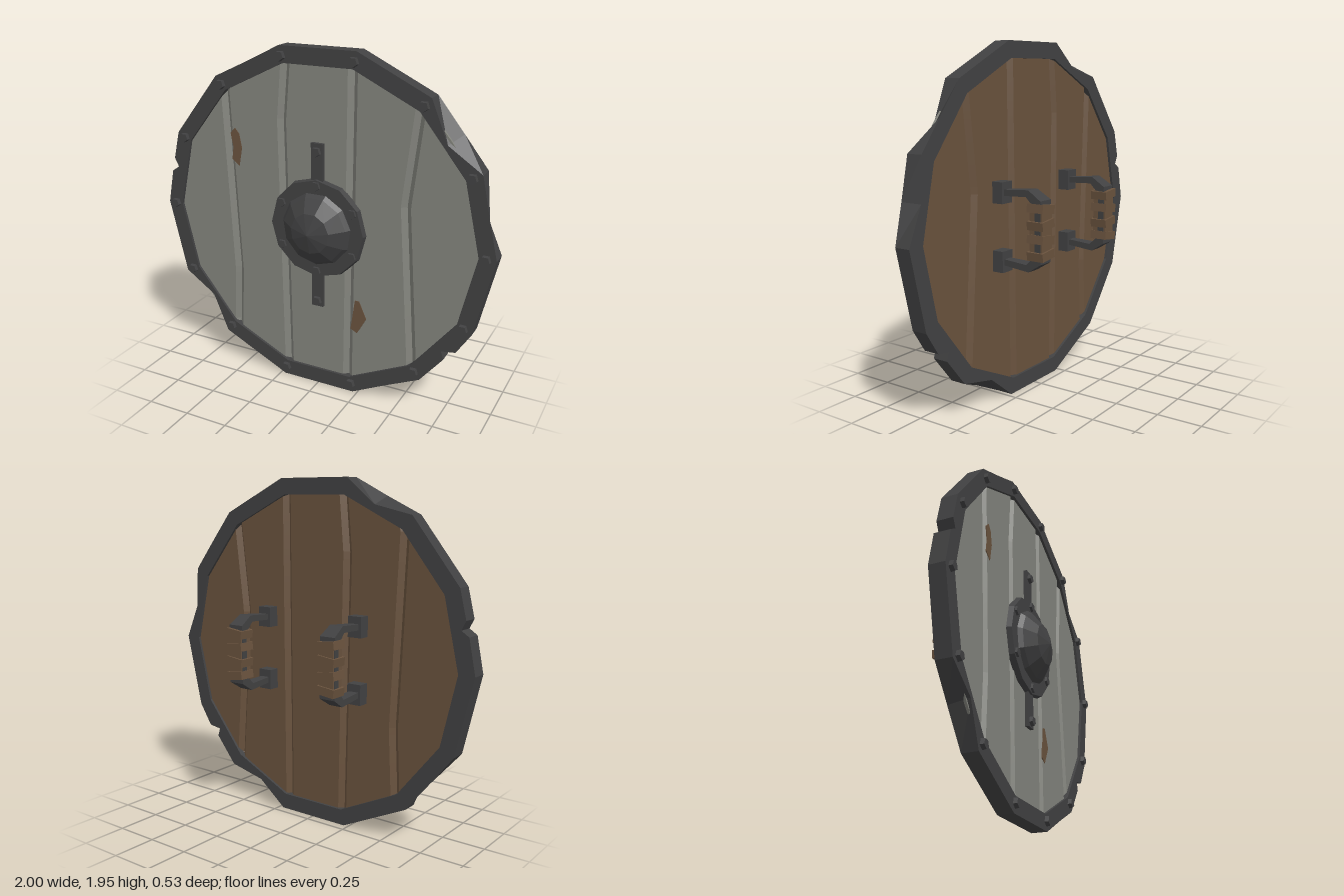
import * as THREE from 'three';

const CY = 0.975;   // height of the shield centre
const SIDES = 14;

const mat = (name, color, side = THREE.FrontSide) => {
  const m = new THREE.MeshStandardMaterial({ color, side, flatShading: true });
  m.name = name;
  return m;
};

// Flat-shaded geometry from a list of quads; each quad is four counter-clockwise corners
function quads(list) {
  const pos = [];
  for (const [a, b, c, d] of list) pos.push(...a, ...b, ...c, ...a, ...c, ...d);
  const g = new THREE.BufferGeometry();
  g.setAttribute('position', new THREE.Float32BufferAttribute(pos, 3));
  g.computeVertexNormals();
  return g;
}

// Radius of the unit polygon in direction t
function polyRadius(t) {
  const step = (2 * Math.PI) / SIDES;
  const k = ((t % step) + step) % step;
  return Math.cos(step / 2) / Math.cos(k - step / 2);
}

// Rim: box section swept round the polygon, with notches and dents as extra stations
function rimGeometry() {
  const stations = []; // x, y, front scale, back scale
  for (let i = 0; i < SIDES; i++) {
    const a = (i / SIDES) * Math.PI * 2;
    stations.push([Math.cos(a), Math.sin(a), 1, 1]);
  }
  stations.push(
    [-0.94, 0.275, 1, 1], [-0.915, 0.225, 1, 1], [-0.96, 0.195, 1, 1],   // notch
    [0.82, -0.56, 1, 1], [0.74, -0.572, 1, 1], [0.755, -0.62, 1, 1],     // notch
    [0.77, 0.6, 0.93, 1], [-0.77, -0.6, 0.93, 1],                        // front dents
    [-0.42, 0.877, 1, 0.95], [0.42, -0.877, 1, 0.95], [0.95, 0.21, 1, 0.96] // back dents
  );
  const angle = s => (Math.atan2(s[1], s[0]) + Math.PI * 2) % (Math.PI * 2);
  stations.sort((a, b) => angle(a) - angle(b));
  const rings = stations.map(([x, y, f, b]) => {
    const t = Math.atan2(y, x), r = 0.907 * polyRadius(t);
    const ix = r * Math.cos(t), iy = r * Math.sin(t);
    return [[x * f, y * f, 0.14], [x * b, y * b, 0.05], [ix, iy, 0.05], [ix, iy, 0.14]];
  });
  const list = [];
  rings.forEach((p, i) => {
    const q = rings[(i + 1) % rings.length];
    for (let k = 0; k < 4; k++) {
      const n = (k + 1) % 4;
      list.push([p[k], p[n], q[n], q[k]]);
    }
  });
  return quads(list);
}

// Plank joints: x as a bent line over y (relative to the centre)
const joints = [
  [[-0.93, -0.56], [-0.355, -0.53], [0.93, -0.585]],
  [[-0.93, -0.2], [0.575, -0.222], [0.93, -0.19]],
  [[-0.93, 0.182], [0.93, 0.197]],
  [[-0.93, 0.585], [0.2, 0.505], [0.93, 0.59]]
];
function jointX(j, y) {
  const i = Math.max(1, j.findIndex(p => p[0] >= y - 1e-6));
  const [y0, x0] = j[i - 1], [y1, x1] = j[i];
  return x0 + ((x1 - x0) * (y - y0)) / (y1 - y0);
}

// One face of a plank with bevelled long edges, cut off under the rim
function plankGeometry(left, right, zFace, zJoint) {
  const N = 48, R = 0.93, bevel = 0.028, rows = [];
  for (let i = 0; i <= N; i++) {
    const y = -R + (2 * R * i) / N;
    const c = Math.sqrt(Math.max(0, R * R - y * y));
    const clip = x => Math.min(c, Math.max(-c, x));
    const l = clip(left ? jointX(left, y) : -c), r = clip(right ? jointX(right, y) : c);
    const li = clip(l + (left ? bevel : 0)), ri = Math.max(li, clip(r - (right ? bevel : 0)));
    rows.push([[l, y, zJoint], [li, y, zFace], [ri, y, zFace], [r, y, zJoint]]);
  }
  const list = [];
  for (let i = 0; i < N; i++) for (let k = 0; k < 3; k++) {
    const a = rows[i], b = rows[i + 1];
    const q = [a[k], a[k + 1], b[k + 1], b[k]];
    list.push(zFace > zJoint ? q : q.reverse());
  }
  return quads(list);
}

export function createModel() {
  const iron = mat('dark iron', 0x414142);
  const paint = mat('grey paint', 0x83847d);
  const wood = mat('brown wood', 0x69523d);

  const model = new THREE.Group();
  model.name = 'shield';
  const shield = new THREE.Group();
  shield.name = 'shieldBody';
  shield.position.y = CY;
  model.add(shield);

  const add = (parent, name, geometry, material, x = 0, y = 0, z = 0) => {
    const m = new THREE.Mesh(geometry, material);
    m.name = name;
    m.position.set(x, y, z);
    parent.add(m);
    return m;
  };
  // Disc or stud with its axis along z
  const disc = (r0, r1, h, n) => new THREE.CylinderGeometry(r1, r0, h, n).rotateX(Math.PI / 2);

  add(shield, 'rim', rimGeometry(), iron);

  // Planks: painted on the front, bare wood on the back
  for (let i = 0; i <= joints.length; i++) {
    add(shield, 'plankFront', plankGeometry(joints[i - 1], joints[i], 0.125, 0.1), paint);
    add(shield, 'plankBack', plankGeometry(joints[i - 1], joints[i], 0.065, 0.09), wood);
  }

  // Chipped paint showing bare wood
  const chips = [
    [[-0.55, 0.47], [-0.52, 0.5], [-0.495, 0.47], [-0.48, 0.39], [-0.5, 0.285], [-0.545, 0.32], [-0.535, 0.39]],
    [[0.225, -0.395], [0.25, -0.395], [0.295, -0.495], [0.24, -0.595], [0.2, -0.575], [0.212, -0.49]]
  ];
  for (const pts of chips) {
    const shape = new THREE.Shape(pts.map(p => new THREE.Vector2(...p)));
    add(shield, 'paintChip', new THREE.ExtrudeGeometry(shape, { depth: 0.005, bevelEnabled: false }), wood, 0, 0, 0.123);
  }

  // Rim rivets
  const rivet = disc(0.03, 0.026, 0.03, 5);
  for (let i = 0; i < SIDES; i++) {
    const a = (i / SIDES) * Math.PI * 2;
    add(shield, 'rimRivet', rivet, iron, 0.945 * Math.cos(a), 0.945 * Math.sin(a), 0.147);
  }

  // Boss: strap, flange, dome and rivets
  add(shield, 'bossStrap', new THREE.BoxGeometry(0.07, 0.95, 0.03), iron, 0, 0.005, 0.13);
  add(shield, 'bossFlange', disc(0.288, 0.28, 0.035, 12), iron, 0, 0, 0.138);
  const profile = [[0.213, 0], [0.19, 0.03], [0.115, 0.085], [0, 0.118]].map(p => new THREE.Vector2(...p));
  add(shield, 'bossDome', new THREE.LatheGeometry(profile, 11).rotateX(Math.PI / 2), iron, 0, 0, 0.15);
  for (let i = 0; i < 6; i++) {
    const a = Math.PI / 2 + (i * Math.PI) / 3;
    add(shield, 'bossRivet', rivet, iron, 0.247 * Math.cos(a), 0.247 * Math.sin(a), 0.153);
  }
  for (const s of [-1, 1]) add(shield, 'strapRivet', rivet, iron, 0, s * 0.435, 0.148);

  // Handle bar: C-shaped side outline, widening towards the grip
  const outer = [[0, 0.203], [0.165, 0.215], [0.245, 0.165]];
  const inner = [[0.19, 0.14], [0.15, 0.178], [0, 0.17]];
  const flip = pts => pts.map(([u, y]) => [u, -y]).reverse();
  const outline = [...outer, ...flip(outer), ...flip(inner), ...inner];
  const barGeo = new THREE.ExtrudeGeometry(
    new THREE.Shape(outline.map(p => new THREE.Vector2(...p))), { depth: 1, bevelEnabled: false });
  barGeo.translate(0, 0, -0.5).rotateY(Math.PI / 2);
  const p = barGeo.attributes.position;
  for (let i = 0; i < p.count; i++) p.setX(i, p.getX(i) * (0.055 + 0.16 * -p.getZ(i)));
  barGeo.computeVertexNormals();

  for (const s of [-1, 1]) {
    const handle = new THREE.Group();
    handle.name = s > 0 ? 'leftHandle' : 'rightHandle';
    handle.position.set(s * 0.315, 0.005, 0);
    shield.add(handle);
    add(handle, 'handleBar', barGeo, iron);
    for (const k of [-1, 1])
      add(handle, 'handlePlate', new THREE.BoxGeometry(0.085, 0.115, 0.07), iron, 0, k * 0.185, 0.035);
    // Wrapped grip: alternating wide and narrow bands
    add(handle, 'gripCore', new THREE.BoxGeometry(0.088, 0.28, 0.078), wood, 0, 0, -0.215);
    for (let i = 0; i < 4; i++) {
      const band = add(handle, 'gripBand', new THREE.BoxGeometry(0.108, 0.046, 0.1), wood, 0, 0.12 - i * 0.08, -0.215);
      band.rotation.z = (i % 2 ? -1 : 1) * 0.12 * s;
    }
  }
  return model;
}
